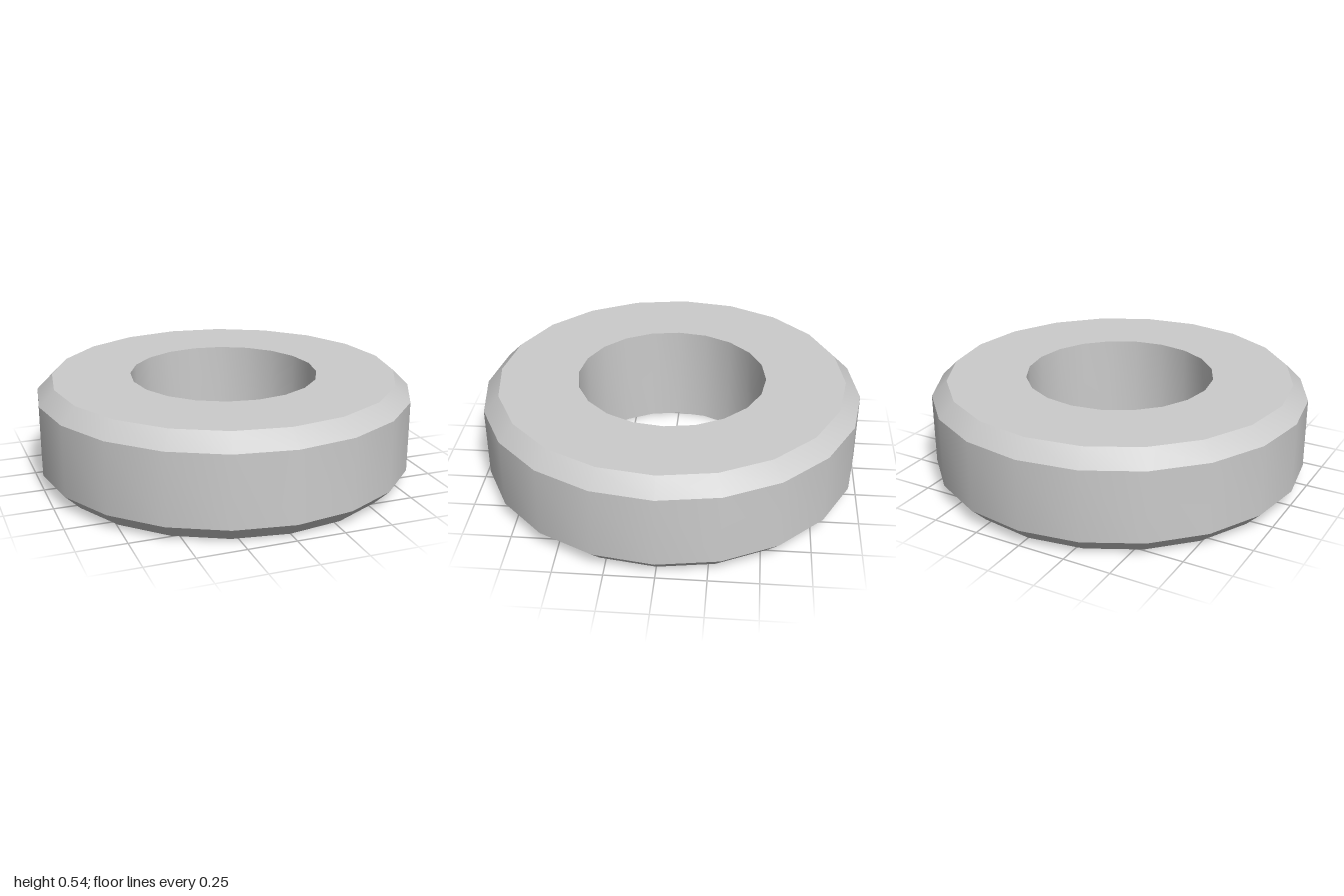
import * as THREE from 'three';
import { toCreasedNormals } from 'three/addons/utils/BufferGeometryUtils.js';

const SIDES = 20;
const OUTER = 1;
const INNER = 0.5;
const HEIGHT = 0.54;
const BEVEL = 0.082;

export function createModel() {
  const group = new THREE.Group();
  group.name = 'bevelledRing';

  // Closed cross-section: up the bevelled outside, across the top, down the bore
  const profile = [
    [INNER, 0],
    [OUTER - BEVEL, 0],
    [OUTER, BEVEL],
    [OUTER, HEIGHT - BEVEL],
    [OUTER - BEVEL, HEIGHT],
    [INNER, HEIGHT],
    [INNER, 0],
  ].map(([r, y]) => new THREE.Vector2(r, y));

  // Smooth around the ring, sharp along the rims and bevels
  const geometry = toCreasedNormals(new THREE.LatheGeometry(profile, SIDES), 0.5);
  const ring = new THREE.Mesh(geometry, new THREE.MeshStandardMaterial({ color: 0xcccccc }));
  ring.name = 'ring';
  group.add(ring);

  return group;
}
